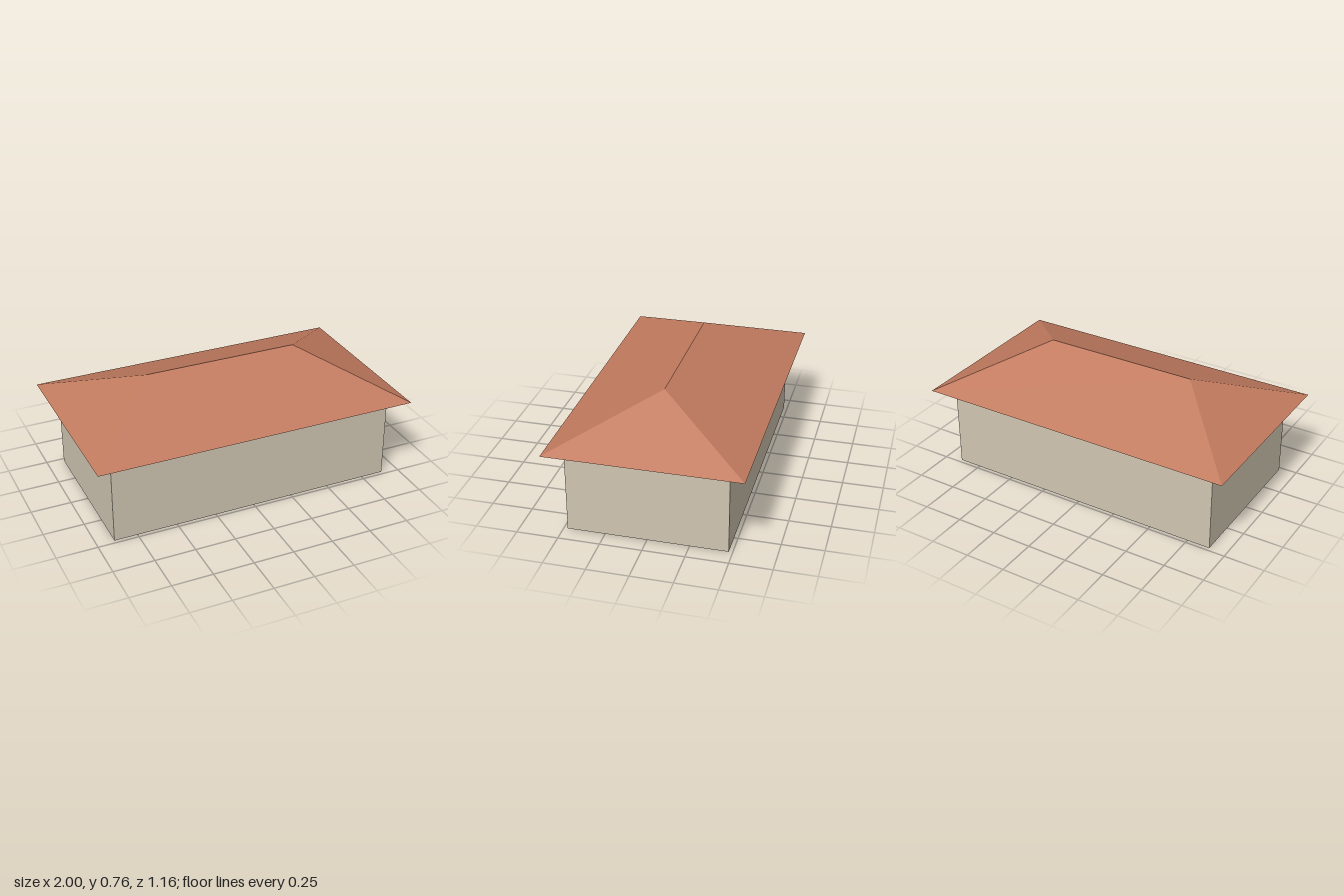
import * as THREE from 'three';

export function createModel() {
  const group = new THREE.Group();
  const mat = (name, color, side = THREE.FrontSide) =>
    Object.assign(new THREE.MeshStandardMaterial({ color, side, flatShading: true }), { name });
  const wallMat = mat('stoneWall', 0xd0c6b2, THREE.DoubleSide);
  const roofMat = mat('terracottaRoof', 0xc27b5f, THREE.DoubleSide);
  const doorMat = mat('greenDoor', 0x576e5e, THREE.DoubleSide);

  const add = (name, geometry, material) => {
    const mesh = new THREE.Mesh(geometry, material);
    mesh.name = name;
    group.add(mesh);
    return mesh;
  };

  const eave = 0.527, ridge = 0.763;

  // Walls and ceiling: a box open at the bottom
  const walls = new THREE.BoxGeometry(1.786, eave, 0.954);
  const index = Array.from(walls.index.array);
  index.splice(18, 6); // bottom face
  walls.setIndex(index);
  walls.clearGroups();
  add('walls', walls, wallMat).position.y = eave / 2;

  // Hipped roof: four open slopes meeting at a ridge
  const X = 1, Z = 0.58, R = 0.483;
  const fl = [X, eave, Z], fr = [-X, eave, Z], bl = [X, eave, -Z], br = [-X, eave, -Z];
  const rl = [R, ridge, 0], rr = [-R, ridge, 0];
  const corners = [
    fr, fl, rl, fr, rl, rr, // front slope
    bl, br, rr, bl, rr, rl, // back slope
    fl, bl, rl,             // left hip
    br, fr, rr,             // right hip
  ];
  const roof = new THREE.BufferGeometry();
  roof.setAttribute('position', new THREE.Float32BufferAttribute(corners.flat(), 3));
  roof.computeVertexNormals();
  add('hippedRoof', roof, roofMat);

  // Three doors set just inside the front wall
  for (const i of [-1, 0, 1]) {
    add('door', new THREE.BoxGeometry(0.45, 0.38, 0.008), doorMat)
      .position.set(i * 0.595, 0.194, 0.466);
  }
  return group;
}
